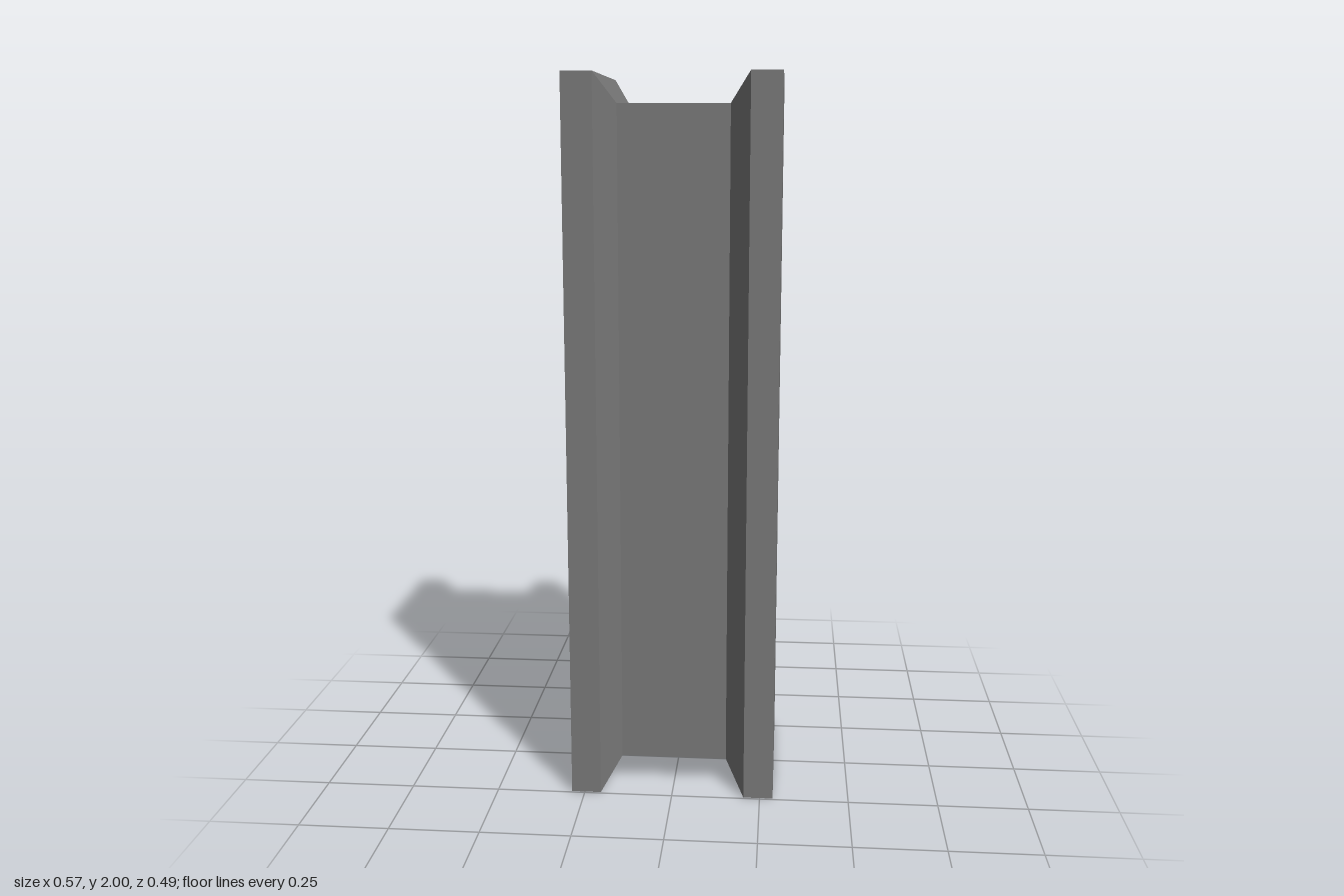
import * as THREE from 'three';

// Cross-sections along x: [x, half height, half depth]
const SECTIONS = [
  [-0.287, 1, 0.244],
  [-0.204, 1, 0.244],
  [-0.15, 0.921, 0.165],
  [0.15, 0.921, 0.165],
  [0.204, 1, 0.244],
  [0.287, 1, 0.244],
];
const NAMES = ['rightFlange', 'rightChamfer', 'web', 'leftChamfer', 'leftFlange'];

// Corners of a rectangular section, counter-clockwise seen from +x
const corners = ([x, h, d]) => [
  [x, 1 - h, d], [x, 1 - h, -d], [x, 1 + h, -d], [x, 1 + h, d],
];

// Four-sided band between two sections, with optional end caps
function band(a, b, capA, capB) {
  const A = corners(a), B = corners(b), positions = [];
  const quad = (p, q, r, s) => positions.push(...p, ...q, ...r, ...p, ...r, ...s);
  for (let i = 0; i < 4; i++) {
    const j = (i + 1) % 4;
    quad(A[i], A[j], B[j], B[i]);
  }
  if (capA) quad(A[3], A[2], A[1], A[0]);
  if (capB) quad(B[0], B[1], B[2], B[3]);
  const geometry = new THREE.BufferGeometry();
  geometry.setAttribute('position', new THREE.Float32BufferAttribute(positions, 3));
  geometry.computeVertexNormals();
  return geometry;
}

export function createModel() {
  const steel = new THREE.MeshStandardMaterial({ color: 0x787878 });
  steel.name = 'greySteel';
  const beam = new THREE.Group();
  beam.name = 'beam';

  // Flanges, sloping chamfers and the central web
  NAMES.forEach((name, i) => {
    const geometry = band(SECTIONS[i], SECTIONS[i + 1], i === 0, i === NAMES.length - 1);
    const mesh = new THREE.Mesh(geometry, steel);
    mesh.name = name;
    beam.add(mesh);
  });
  return beam;
}
